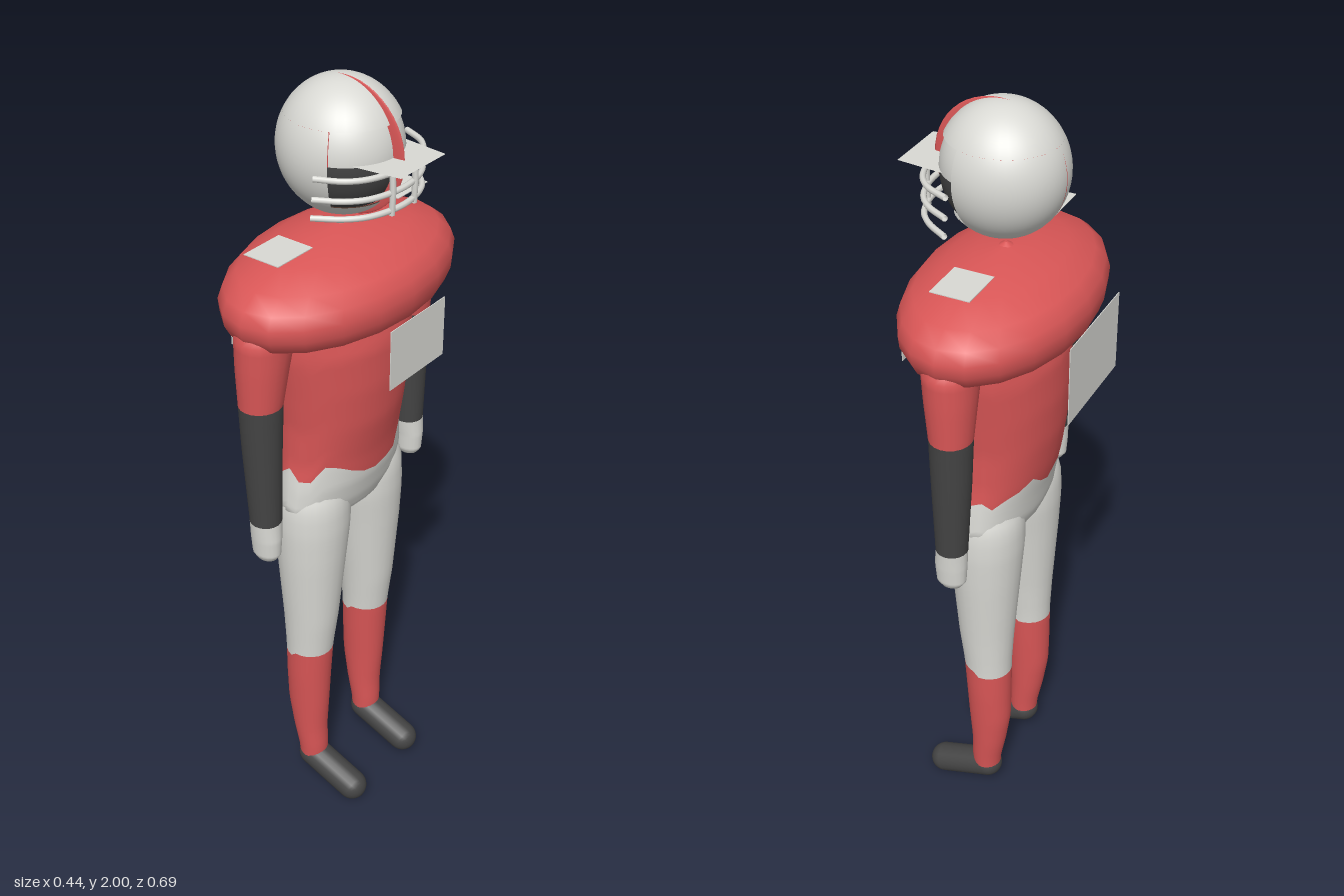
import * as THREE from 'three';

const mat = (name, color, double = false) => {
  const m = new THREE.MeshStandardMaterial({ color });
  m.name = name;
  if (double) m.side = THREE.DoubleSide;
  return m;
};

// Interpolate a profile of [y, centreX, radiusX, centreZ, radiusZ] at height y
function sectionAt(profile, y) {
  if (y <= profile[0][0]) return profile[0];
  for (let i = 1; i < profile.length; i++) {
    const a = profile[i - 1], b = profile[i];
    if (y <= b[0]) return a.map((v, k) => v + (b[k] - v) * (y - a[0]) / (b[0] - a[0]));
  }
  return profile[profile.length - 1];
}

// Smooth elliptical tube along y between two edges, each a function of angle
function loft(profile, low, high, rows = 16, sides = 28) {
  const pos = [], idx = [];
  for (let i = 0; i <= rows; i++) {
    for (let j = 0; j < sides; j++) {
      const t = j / sides * Math.PI * 2;
      const y = low(t) + (high(t) - low(t)) * i / rows;
      const [, cx, rx, cz, rz] = sectionAt(profile, y);
      pos.push(cx + rx * Math.cos(t), y, cz + rz * Math.sin(t));
      if (i < rows) {
        const a = i * sides + j, b = i * sides + (j + 1) % sides;
        idx.push(a, a + sides, b, b, a + sides, b + sides);
      }
    }
  }
  const g = new THREE.BufferGeometry();
  g.setAttribute('position', new THREE.Float32BufferAttribute(pos, 3));
  g.setIndex(idx);
  g.computeVertexNormals();
  return g;
}

export function createModel() {
  const root = new THREE.Group();
  root.name = 'footballPlayer';
  const red = mat('jersey red', 0xd95656, true);
  const white = mat('off white', 0xd9d9d4, true);
  const dark = mat('charcoal', 0x444444, true);
  const skin = mat('skin', 0x8d6654);

  const add = (name, geo, material, parent = root) => {
    const m = new THREE.Mesh(geo, material);
    m.name = name;
    parent.add(m);
    return m;
  };
  const at = (v) => () => v;

  // Torso and hips meet at a ragged waistline
  const torso = [
    [0.885, 0, 0.01, 0, 0.02], [0.9, 0, 0.05, 0, 0.07], [0.93, -0.002, 0.08, 0, 0.17],
    [0.97, -0.002, 0.095, 0, 0.204], [1.03, 0, 0.108, 0, 0.198], [1.1, -0.004, 0.12, 0, 0.188],
    [1.2, -0.002, 0.137, 0, 0.188], [1.3, -0.001, 0.143, 0, 0.2], [1.4, 0, 0.14, 0, 0.215],
    [1.5, 0, 0.11, 0, 0.22], [1.6, 0, 0.07, 0, 0.12], [1.65, 0, 0.04, 0, 0.04], [1.668, 0, 0.003, 0, 0.003],
  ];
  const ragged = [1.04, 1.05, 1.07, 1.09, 1.1, 1.06, 1.06, 1.09, 1.07, 1.05, 1.08, 1.06, 1.05, 1.07,
    1.05, 1.07, 1.1, 1.08, 1.07, 1.05, 1.07, 1.06, 1.06, 1.07, 1.1, 1.1, 1.05, 1.045];
  const waist = (t) => ragged[Math.round(t / (Math.PI * 2) * 28) % 28];
  add('jersey', loft(torso, waist, at(1.668), 30), red);
  add('hips', loft(torso, at(0.885), waist, 14), white);

  // Shoulder pads: an oval dome with a rolled rim
  const padPoints = [[0, 1.5], [0.7, 1.485], [0.84, 1.473], [0.94, 1.485], [0.99, 1.515], [1, 1.545],
    [0.96, 1.575], [0.85, 1.605], [0.6, 1.635], [0.3, 1.655], [0, 1.663]];
  const pad = new THREE.LatheGeometry(padPoints.map(([x, y]) => new THREE.Vector2(x, y)), 20);
  pad.scale(0.208, 1, 0.345);
  add('shoulderPads', pad, red);

  // Limbs, built for one side and repeated on the other
  const leg = (s) => [
    [0.08, 0, 0.036, s * 0.117, 0.036], [0.13, 0, 0.04, s * 0.118, 0.039], [0.2, -0.008, 0.046, s * 0.119, 0.044],
    [0.3, -0.012, 0.057, s * 0.12, 0.05], [0.4, -0.01, 0.06, s * 0.12, 0.056], [0.5, -0.007, 0.063, s * 0.119, 0.06],
    [0.6, -0.003, 0.072, s * 0.117, 0.068], [0.8, -0.002, 0.087, s * 0.112, 0.088],
    [0.9, -0.002, 0.093, s * 0.107, 0.098], [0.98, -0.002, 0.09, s * 0.105, 0.096], [1.05, 0, 0.06, s * 0.1, 0.07],
  ];
  const arm = (s) => [
    [0.885, 0.003, 0.006, s * 0.287, 0.006], [0.89, 0.003, 0.026, s * 0.287, 0.02],
    [0.905, 0.003, 0.037, s * 0.287, 0.029], [0.95, 0.003, 0.04, s * 0.287, 0.033],
    [1.0, 0.001, 0.039, s * 0.285, 0.038], [1.2, -0.003, 0.048, s * 0.285, 0.046],
    [1.32, -0.004, 0.051, s * 0.283, 0.053], [1.42, -0.002, 0.06, s * 0.275, 0.065],
    [1.5, 0, 0.066, s * 0.265, 0.076], [1.55, 0, 0.04, s * 0.25, 0.05],
  ];
  for (const [side, s] of [['right', 1], ['left', -1]]) {
    const L = leg(s), A = arm(s);
    const hem = (t) => Math.cos(t) > 0 ? 0.49 : 0.475;
    add(side + 'PantLeg', loft(L, hem, at(1.05), 20, 24), white);
    add(side + 'Sock', loft(L, at(0.1), hem, 14, 24), red);
    add(side + 'Sleeve', loft(A, at(1.32), at(1.55), 12, 20), red);
    add(side + 'Forearm', loft(A, at(0.998), at(1.32), 10, 20), dark);
    add(side + 'Hand', loft(A, at(0.885), at(0.998), 22, 20), white);
    // Shoe slopes down towards the toe
    const shoe = add(side + 'Shoe', new THREE.CapsuleGeometry(0.04, 0.142, 8, 18), dark);
    shoe.position.set(0.066, 0.065, s * 0.117);
    shoe.rotation.z = Math.PI / 2 - 0.34;
    // Flat panel above the shoulder
    const panel = add(side + 'ShoulderPanel', new THREE.BoxGeometry(0.095, 0.002, 0.115), white);
    panel.position.set(-0.001, 1.67, s * 0.212);
  }

  // Number panels in front and behind, left blank
  add('chestPanel', new THREE.BoxGeometry(0.002, 0.15, 0.204), white).position.set(0.22, 1.425, 0);
  add('backPanel', new THREE.BoxGeometry(0.002, 0.2, 0.27), white).position.set(-0.22, 1.425, 0);

  // Helmet shell with a face opening towards +x
  const helmet = new THREE.Group();
  helmet.name = 'helmet';
  helmet.position.set(0.005, 1.845, 0);
  root.add(helmet);
  const ball = (name, material, scale, phi0, phi, th0, th1) => {
    const g = new THREE.SphereGeometry(1, 36, 18, phi0, phi, th0, th1 - th0);
    g.scale(0.148 * scale, 0.154 * scale, 0.14 * scale);
    return add(name, g, material, helmet);
  };
  const full = Math.PI * 2, half = 1.15;
  ball('crown', white, 1, 0, full, 0, 1.066);
  ball('shellSides', white, 1, Math.PI + half, full - 2 * half, 1.066, 2.3);
  ball('shellRim', white, 1, 0, full, 2.3, 2.62);
  ball('forehead', white, 0.95, Math.PI - half, 2 * half, 0.9, 1.56);
  ball('faceShadow', dark, 0.95, Math.PI - 1.4, 2.8, 1.56, 2.4);
  ball('chin', skin, 0.985, 0, full, 2.3, Math.PI);

  // Centre stripe: a thin disc just proud of the shell
  const stripe = add('centreStripe', new THREE.SphereGeometry(1, 40, 24), red);
  stripe.scale.set(0.158, 0.1555, 0.009);
  stripe.position.set(0.014, 1.8445, 0);

  // Flat brim
  const brim = new THREE.Shape([[0.09, -0.095], [0.22, -0.08], [0.22, 0.08], [0.09, 0.095]]
    .map(([x, y]) => new THREE.Vector2(x, y)));
  const brimMesh = add('brim', new THREE.ShapeGeometry(brim), white);
  brimMesh.rotation.x = -Math.PI / 2;
  brimMesh.position.y = 1.85;

  // Face guard: three curved bars joined by uprights
  const guard = new THREE.Group();
  guard.name = 'faceGuard';
  root.add(guard);
  const tube = (name, pts, n) => add(name, new THREE.TubeGeometry(
    new THREE.CatmullRomCurve3(pts.map((p) => new THREE.Vector3(...p))), n, 0.007, 8), white, guard);
  [[1.835, 0.165], [1.79, 0.17], [1.75, 0.175]].forEach(([y, w]) => {
    tube('guardBar', [[0.058, y, -w], [0.118, y, -0.135], [0.153, y, -0.09], [0.172, y, 0],
      [0.153, y, 0.09], [0.118, y, 0.135], [0.058, y, w]], 32);
  });
  for (const s of [-1, 1]) {
    tube('guardUpright', [[0.17, 1.74, s * 0.04], [0.172, 1.79, s * 0.04], [0.17, 1.84, s * 0.04]], 6);
  }
  return root;
}
